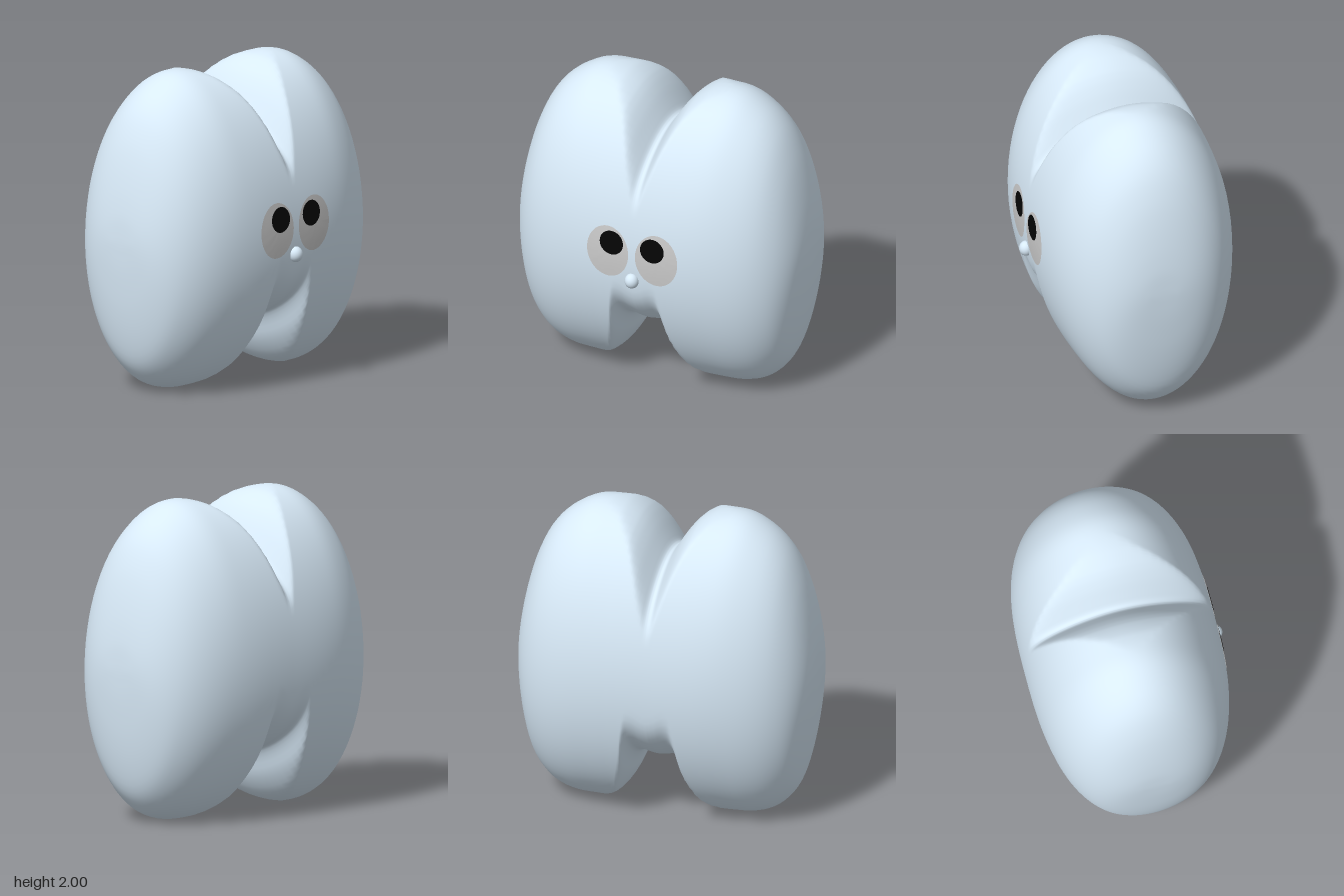
import * as THREE from 'three';
import { mergeVertices } from 'three/addons/utils/BufferGeometryUtils.js';

const HALF_WIDTH = 0.95, HALF_DEPTH = 0.612, CENTRE_Z = -0.02;

// Half outline of the body: x, top height, bottom height
const OUTLINE = [
  [0, 1.69, 0.345], [0.02, 1.70, 0.347], [0.05, 1.745, 0.352], [0.1, 1.825, 0.362],
  [0.14, 1.878, 0.352], [0.17, 1.91, 0.295], [0.2, 1.935, 0.2], [0.25, 1.965, 0.11],
  [0.3, 1.985, 0.055], [0.4, 2, 0.013], [0.5, 1.985, 0], [0.6, 1.935, 0.012],
  [0.69, 1.865, 0.045], [0.77, 1.765, 0.11], [0.835, 1.63, 0.205], [0.88, 1.49, 0.345],
  [0.915, 1.335, 0.53], [0.935, 1.21, 0.705], [0.945, 1.115, 0.835], [0.95, 0.98, 0.98],
];

// Rounds the depth off towards a notch edge; a deeper notch rounds over a longer distance
function notchRounding(distance, cut) {
  const s = cut > 1e-4 ? THREE.MathUtils.clamp(1 - distance / (1.2 * cut), 0, 1) : 0;
  return Math.sqrt(1 - s * s);
}

// Body: elliptical cross-sections swept along x, cut by a notch above and below
function bodyGeometry() {
  const curve = new THREE.CatmullRomCurve3(OUTLINE.map(p => new THREE.Vector3(...p)));
  const half = curve.getPoints((OUTLINE.length - 1) * 3);
  const rows = [...half.slice(1).reverse().map(p => new THREE.Vector3(-p.x, p.y, p.z)), ...half];
  const sides = 80, positions = [], index = [];
  rows.forEach(({ x, y: top, z: bottom }, i) => {
    const k = Math.min(1, Math.abs(x) / HALF_WIDTH);
    const depth = HALF_DEPTH * Math.pow(1 - Math.pow(k, 2.8), 1 / 2.8);
    // Height of the full ellipse before the notches are cut
    const fullTop = Math.abs(x) < 0.4 ? Math.max(2, top) : top;
    const fullBottom = Math.abs(x) < 0.5 ? Math.min(0, bottom) : bottom;
    const fullMid = (fullTop + fullBottom) / 2;
    const fullHalf = Math.max(1e-6, (fullTop - fullBottom) / 2);
    for (let j = 0; j < sides; j++) {
      const a = (j / sides) * Math.PI * 2;
      const y = (top + bottom) / 2 + ((top - bottom) / 2) * Math.cos(a);
      const t = (y - fullMid) / fullHalf;
      const z = depth * Math.sqrt(Math.max(0, 1 - t * t))
        * notchRounding(top - y, fullTop - top) * notchRounding(y - bottom, bottom - fullBottom);
      positions.push(x, y, CENTRE_Z + (j < sides / 2 ? z : -z));
      if (i === rows.length - 1) continue;
      const p00 = i * sides + j, p01 = i * sides + (j + 1) % sides;
      index.push(p00, p01, p00 + sides, p01, p01 + sides, p00 + sides);
    }
  });
  let geo = new THREE.BufferGeometry();
  geo.setAttribute('position', new THREE.Float32BufferAttribute(positions, 3));
  geo.setIndex(index);
  geo = mergeVertices(geo, 1e-5);
  geo.computeVertexNormals();
  return geo;
}

// Thin oval laid onto the front of the body
function ovalOnBody(body, x, y, rx, ry, lift) {
  const geo = new THREE.RingGeometry(0, 1, 40, 4);
  geo.scale(rx, ry, 1).translate(x, y, 0);
  const pos = geo.attributes.position;
  const ray = new THREE.Raycaster();
  const back = new THREE.Vector3(0, 0, -1);
  for (let i = 0; i < pos.count; i++) {
    ray.set(new THREE.Vector3(pos.getX(i), pos.getY(i), 2), back);
    const hit = ray.intersectObject(body)[0];
    pos.setZ(i, (hit ? hit.point.z : 0.58) + lift);
  }
  geo.computeVertexNormals();
  return geo;
}

export function createModel() {
  const group = new THREE.Group();
  const skin = new THREE.MeshStandardMaterial({ color: 0xd9ebf9 });
  const eyeGrey = new THREE.MeshStandardMaterial({ color: 0xcccccc, side: THREE.DoubleSide });
  const black = new THREE.MeshStandardMaterial({ color: 0x050505, side: THREE.DoubleSide });
  const add = (name, geo, material) => {
    const mesh = new THREE.Mesh(geo, material);
    mesh.name = name;
    group.add(mesh);
    return mesh;
  };

  const body = add('body', bodyGeometry(), skin);

  // Eyes and pupils, mirrored
  for (const [side, s] of [['left', 1], ['right', -1]]) {
    add(side + 'Eye', ovalOnBody(body, s * 0.165, 1.025, 0.142, 0.176, 0.003), eyeGrey);
    add(side + 'Pupil', ovalOnBody(body, s * 0.138, 1.092, 0.08, 0.081, 0.006), black);
  }

  // Nose
  const nose = add('nose', new THREE.SphereGeometry(0.045, 24, 16), skin);
  nose.scale.y = 1.1;
  nose.position.set(0, 0.85, 0.59);

  return group;
}
